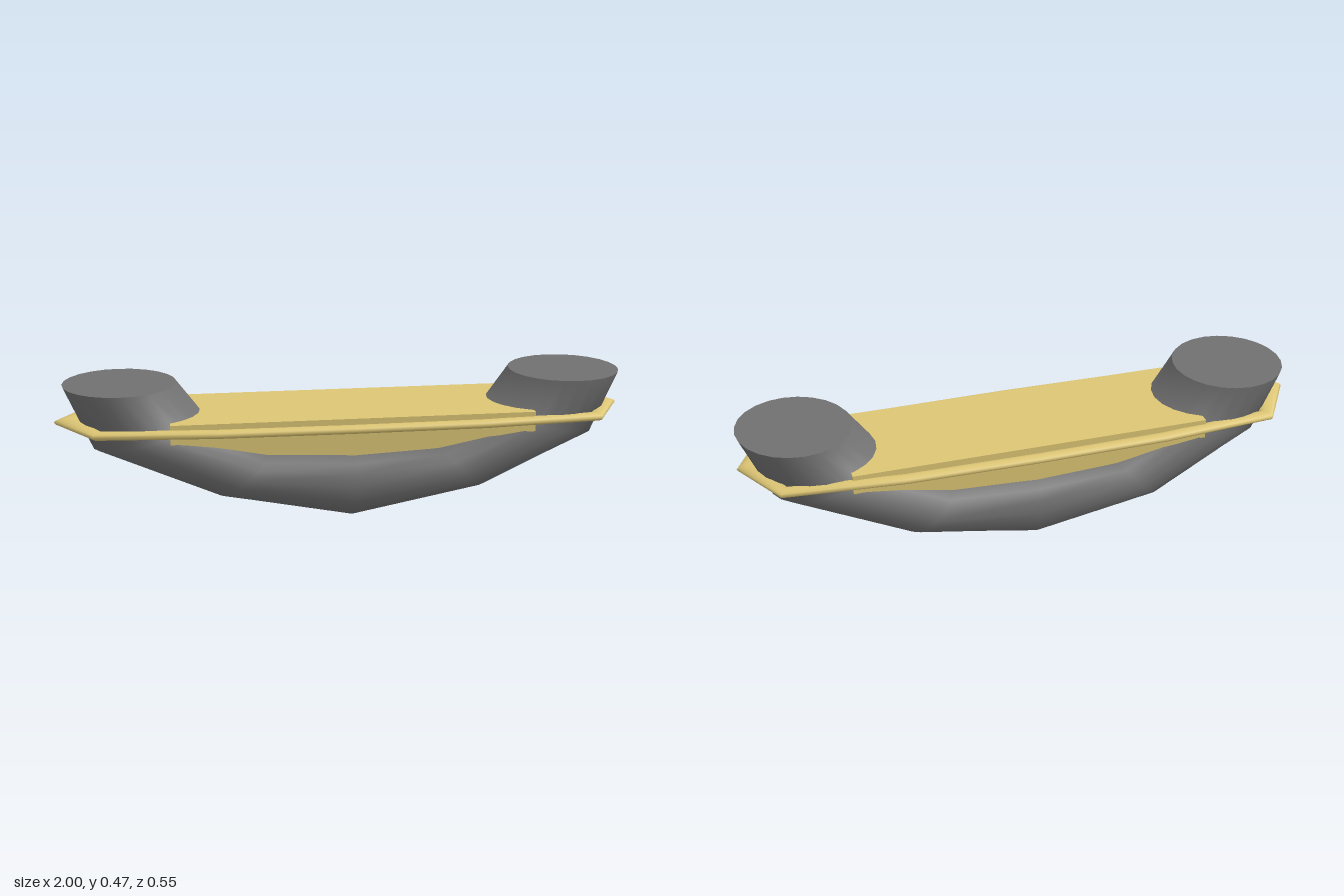
import * as THREE from 'three';

// Skin a list of rings (arrays of Vector3), each ring closed on itself
function loft(rings, closed = false) {
  const n = rings[0].length, m = rings.length, pos = [], idx = [];
  rings.forEach(r => r.forEach(p => pos.push(p.x, p.y, p.z)));
  for (let i = 0; i < (closed ? m : m - 1); i++) {
    for (let j = 0; j < n; j++) {
      const i2 = (i + 1) % m, j2 = (j + 1) % n;
      const a = i * n + j, b = i2 * n + j, c = i2 * n + j2, d = i * n + j2;
      idx.push(a, b, c, a, c, d);
    }
  }
  const g = new THREE.BufferGeometry();
  g.setAttribute('position', new THREE.Float32BufferAttribute(pos, 3));
  g.setIndex(idx);
  g.computeVertexNormals();
  return g;
}

// Ring around centre c, spanned by vectors u (cos) and v (sin); power > 2 squares it off
function ring(c, u, v, power = 2, sides = 24) {
  const f = t => Math.sign(t) * Math.pow(Math.abs(t), 2 / power);
  return Array.from({ length: sides }, (_, j) => {
    const t = (j / sides) * Math.PI * 2;
    return c.clone().addScaledVector(u, f(Math.cos(t))).addScaledVector(v, f(Math.sin(t)));
  });
}

export function createModel() {
  const group = new THREE.Group();
  const grey = new THREE.MeshStandardMaterial({ color: 0x707070 });
  const gold = new THREE.MeshStandardMaterial({ color: 0xdcc574 });
  const add = (name, geometry, material) => {
    const mesh = new THREE.Mesh(geometry, material);
    mesh.name = name;
    group.add(mesh);
    return mesh;
  };
  const V = (x, y, z) => new THREE.Vector3(x, y, z);
  const midX = 0.012;

  // Curved hull: outer x,y, inner x,y, half width, squareness; mirrored about midX
  const half = [
    [-0.98, 0.478, -0.59, 0.478, 0.207, 2],
    [-0.885, 0.26, -0.50, 0.36, 0.205, 2],
    [-0.465, 0.095, -0.27, 0.285, 0.274, 2.4],
  ];
  const stations = [
    ...half,
    [0, 0.003, 0, 0.281, 0.266, 2.6],
    ...half.slice().reverse().map(([ox, oy, ix, iy, w, p]) => [-ox, oy, -ix, iy, w, p]),
  ];
  const hullRings = stations.map(([ox, oy, ix, iy, w, p]) => ring(
    V((ox + ix) / 2 + midX, (oy + iy) / 2, 0),
    V(0, 0, w),
    V((ix - ox) / 2, (iy - oy) / 2, 0), p));
  add('hull', loft(hullRings), grey);

  // Flat caps closing both upturned ends
  for (const s of [-1, 1]) {
    const cap = add(s < 0 ? 'rightEndCap' : 'leftEndCap', new THREE.CircleGeometry(1, 24), grey);
    cap.rotation.x = -Math.PI / 2;
    cap.scale.set(0.195, 0.207, 1);
    cap.position.set(s * 0.785 + midX, 0.478, 0);
  }

  // Deck slab sunk into the hull
  const deck = add('deck', new THREE.BoxGeometry(1.255, 0.145, 0.416), gold);
  deck.position.set(0.018, 0.3025, 0);

  // Rim band around the hull: outer x,z and inner x,z
  const front = [
    [-0.865, 0.215, -0.835, 0.165],
    [-0.45, 0.25, -0.45, 0.203],
    [0.01, 0.256, 0.01, 0.208],
    [0.47, 0.25, 0.47, 0.203],
    [0.885, 0.212, 0.855, 0.165],
  ];
  const band = [
    [-1, 0, -0.89, 0],
    ...front,
    [0.997, 0, 0.905, 0],
    ...front.slice().reverse().map(([ox, oz, ix, iz]) => [ox, -oz, ix, -iz]),
  ];
  const bandRings = band.map(([ox, oz, ix, iz]) => ring(
    V((ox + ix) / 2, 0.345, (oz + iz) / 2),
    V((ox - ix) / 2, 0, (oz - iz) / 2),
    V(0, 0.0145, 0), 2, 12));
  add('rimBand', loft(bandRings, true), gold);

  return group;
}
